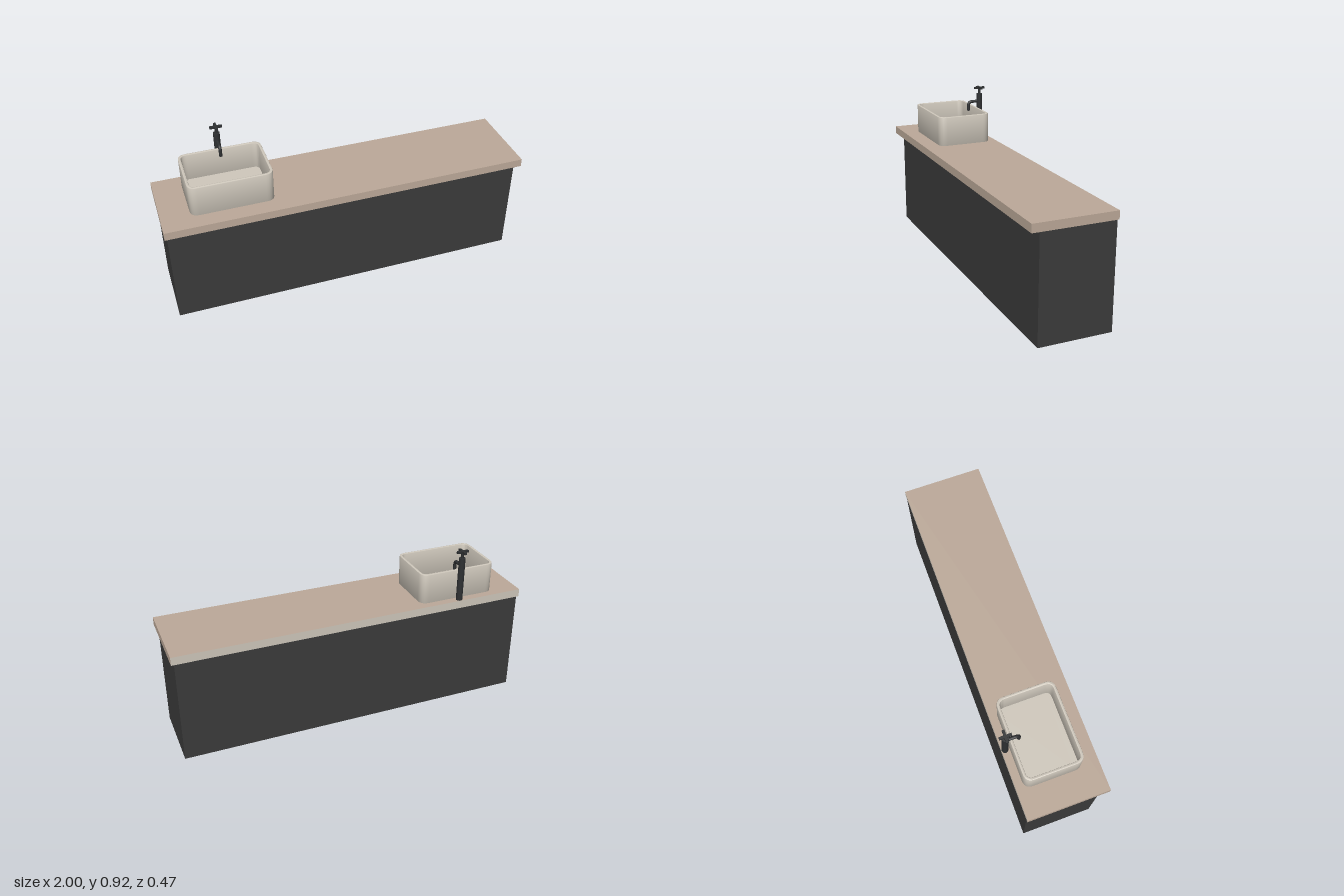
import * as THREE from 'three';
import { toCreasedNormals } from 'three/addons/utils/BufferGeometryUtils.js';

function material(name, color, side = THREE.FrontSide) {
  const m = new THREE.MeshStandardMaterial({ color, side });
  m.name = name;
  return m;
}

// Rounded rectangle outline centred on the origin
function roundedRect(Type, hw, hh, r) {
  const p = new Type();
  p.moveTo(-hw + r, -hh);
  p.lineTo(hw - r, -hh);
  p.quadraticCurveTo(hw, -hh, hw, -hh + r);
  p.lineTo(hw, hh - r);
  p.quadraticCurveTo(hw, hh, hw - r, hh);
  p.lineTo(-hw + r, hh);
  p.quadraticCurveTo(-hw, hh, -hw, hh - r);
  p.lineTo(-hw, -hh + r);
  p.quadraticCurveTo(-hw, -hh, -hw + r, -hh);
  return p;
}

export function createModel() {
  const model = new THREE.Group();
  model.name = 'washstand';
  const charcoal = material('charcoal', 0x3b3b3b, THREE.DoubleSide);
  const wood = material('pale wood', 0xbca999);
  const ceramic = material('ceramic', 0xcfc8bc);
  const black = material('black metal', 0x2e3032);

  function add(parent, name, geometry, mat, x = 0, y = 0, z = 0) {
    const mesh = new THREE.Mesh(geometry, mat);
    mesh.name = name;
    mesh.position.set(x, y, z);
    parent.add(mesh);
    return mesh;
  }

  // Cabinet: thin-walled box, open at the bottom
  const cabinetGeo = new THREE.BoxGeometry(1.97, 0.582, 0.402);
  const faces = Array.from(cabinetGeo.index.array);
  faces.splice(18, 6);
  cabinetGeo.setIndex(faces);
  cabinetGeo.clearGroups();
  add(model, 'cabinet', cabinetGeo, charcoal, 0, 0.291, -0.016);

  // Countertop with an unfinished back edge
  add(model, 'countertop', new THREE.BoxGeometry(2, 0.045, 0.451),
    [wood, wood, wood, wood, wood, ceramic], 0, 0.6055, 0.0075);

  // Basin: rounded wall ring with a softened rim, and a floor inside
  const basin = new THREE.Group();
  basin.name = 'basin';
  basin.position.set(-0.621, 0.628, -0.016);
  model.add(basin);
  const bevel = 0.004;
  const outline = roundedRect(THREE.Shape, 0.224 - bevel, 0.159 - bevel, 0.042);
  outline.holes.push(roundedRect(THREE.Path, 0.209 + bevel, 0.144 + bevel, 0.038));
  const wallGeo = new THREE.ExtrudeGeometry(outline, {
    depth: 0.172 - bevel, bevelEnabled: true, bevelSize: bevel,
    bevelThickness: bevel, bevelSegments: 2, curveSegments: 6,
  });
  wallGeo.rotateX(-Math.PI / 2);
  add(basin, 'basinWall', toCreasedNormals(wallGeo, 0.6), ceramic);
  const floorGeo = new THREE.ExtrudeGeometry(roundedRect(THREE.Shape, 0.212, 0.147, 0.036),
    { depth: 0.015, bevelEnabled: false, curveSegments: 6 });
  floorGeo.rotateX(-Math.PI / 2);
  add(basin, 'basinFloor', floorGeo, ceramic);

  // Tap: column, stem, cross handle and bent spout
  const tap = new THREE.Group();
  tap.name = 'tap';
  tap.position.set(-0.62, 0.628, -0.199);
  model.add(tap);
  add(tap, 'tapColumn', new THREE.CylinderGeometry(0.018, 0.018, 0.252, 20), black, 0, 0.126, 0);
  add(tap, 'tapStem', new THREE.CylinderGeometry(0.008, 0.008, 0.036, 12), black, 0, 0.267, 0);
  for (const turn of [0, Math.PI / 2]) {
    add(tap, 'tapHandleBar', new THREE.BoxGeometry(0.067, 0.012, 0.014), black, 0, 0.288, 0)
      .rotation.y = turn;
  }

  const at = (y, z) => new THREE.Vector3(0, y, z);
  const path = new THREE.CurvePath();
  path.add(new THREE.LineCurve3(at(0.205, 0), at(0.205, 0.05)));
  path.add(new THREE.QuadraticBezierCurve3(at(0.205, 0.05), at(0.205, 0.073), at(0.182, 0.073)));
  path.add(new THREE.LineCurve3(at(0.182, 0.073), at(0.15, 0.073)));
  add(tap, 'tapSpout', new THREE.TubeGeometry(path, 24, 0.009, 12), black);
  const outlet = add(tap, 'spoutOutlet', new THREE.CircleGeometry(0.009, 12), black, 0, 0.15, 0.073);
  outlet.rotation.x = Math.PI / 2;

  return model;
}
